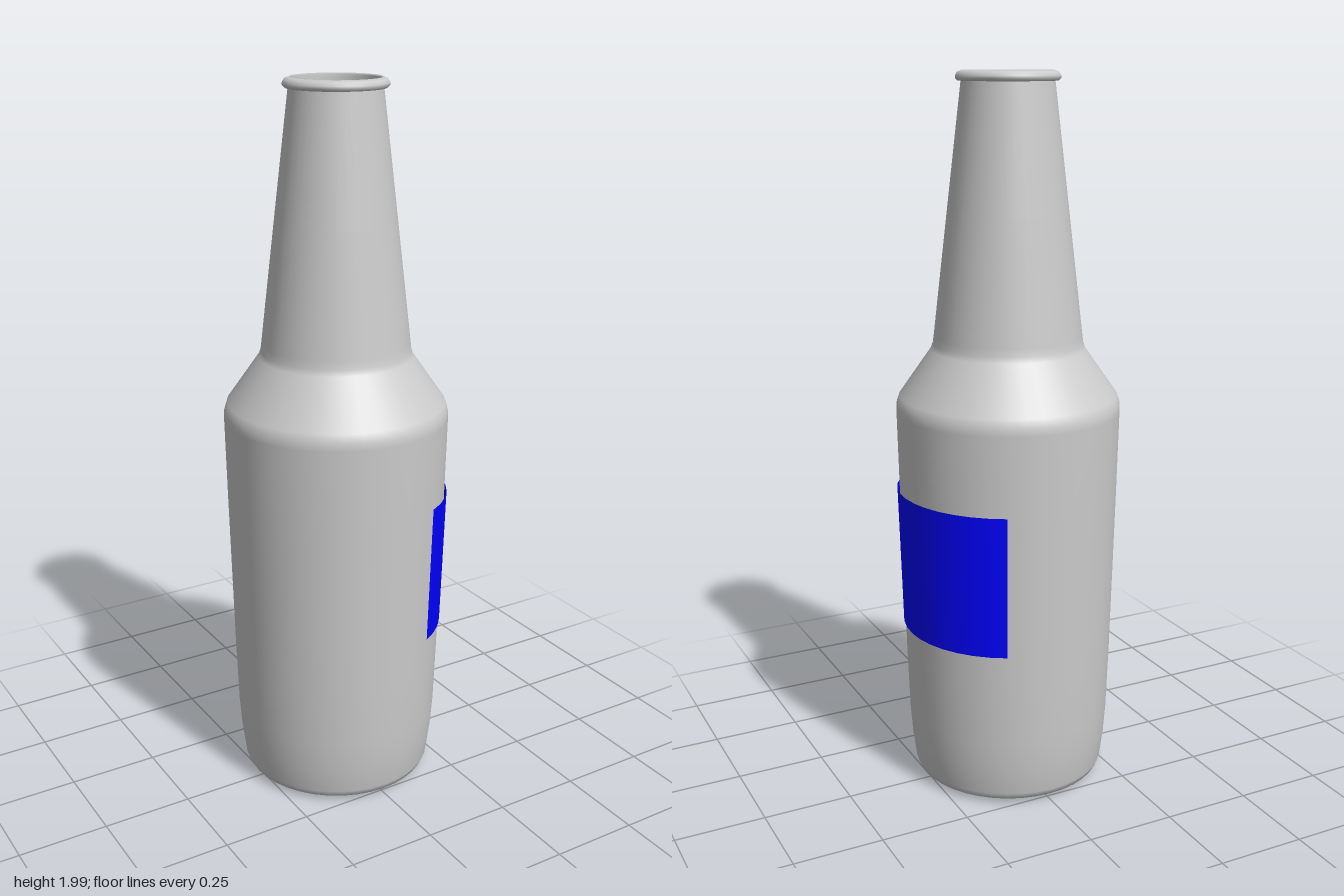
import * as THREE from 'three';

const SEGMENTS = 40;
const toPoints = (list) => list.map(([r, y]) => new THREE.Vector2(r, y));

function lathe(name, profile, material, segments = SEGMENTS, start = 0, sweep = Math.PI * 2) {
  const mesh = new THREE.Mesh(new THREE.LatheGeometry(toPoints(profile), segments, start, sweep), material);
  mesh.name = name;
  mesh.position.x = -0.002;
  return mesh;
}

export function createModel() {
  const group = new THREE.Group();
  group.name = 'bottle';
  const grey = new THREE.MeshStandardMaterial({ color: 0xcccccc, side: THREE.DoubleSide });
  const blue = new THREE.MeshStandardMaterial({ color: 0x0000ff, side: THREE.DoubleSide });

  // Open hollow body: base, tapered wall, sloped shoulder and long neck
  group.add(lathe('bottleBody', [
    [0, 0.008], [0.22, 0.008], [0.245, 0.012], [0.265, 0.024], [0.273, 0.042],
    [0.283, 0.12], [0.289, 0.2], [0.295, 0.38], [0.306, 0.85], [0.311, 1.09],
    [0.31, 1.11], [0.302, 1.135], [0.213, 1.262], [0.207, 1.278], [0.204, 1.3],
    [0.165, 1.63], [0.124, 1.975],
  ], grey));

  // Rolled lip around the open mouth
  group.add(lathe('lip', [
    [0.121, 1.972], [0.133, 1.973], [0.139, 1.979], [0.139, 1.986],
    [0.134, 1.995], [0.122, 2.0], [0.12, 1.995], [0.121, 1.972],
  ], grey));

  // Label wrapped around the left (+x) side, just proud of the wall
  const deg = Math.PI / 180;
  group.add(lathe('label', [[0.302, 0.47], [0.313, 0.87]], blue, 14, 27 * deg, 126 * deg));

  return group;
}
